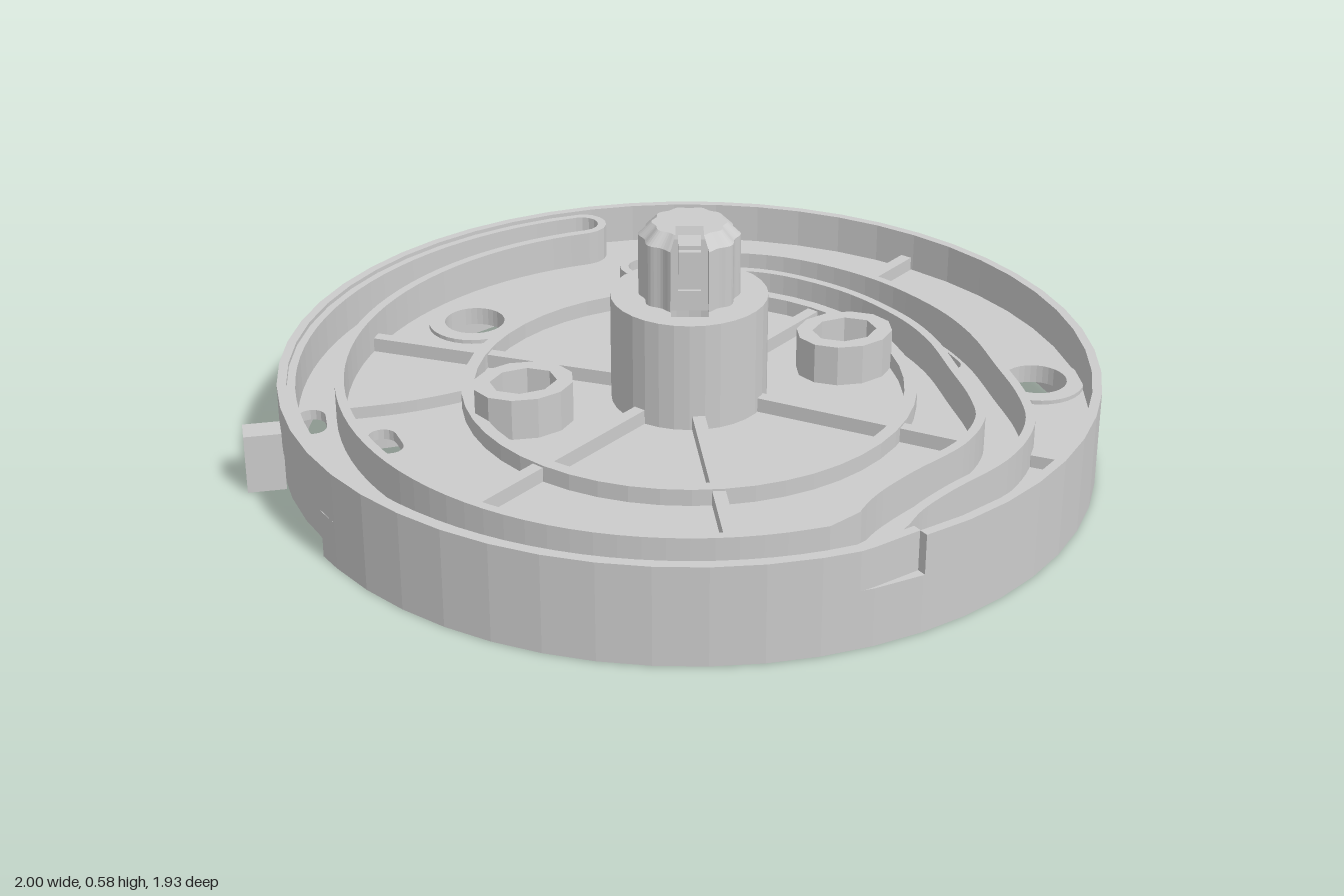
import * as THREE from 'three';

const CX = 0.035; // disc axis in x
const V = (x, z) => new THREE.Vector2(x, z);

export function createModel() {
  const model = new THREE.Group();
  const mat = new THREE.MeshStandardMaterial({ color: 0xcccccc, flatShading: true });

  const add = (name, geo, parent = model) => {
    const m = new THREE.Mesh(geo, mat);
    m.name = name;
    parent.add(m);
    return m;
  };
  // Plan outline (x, z) extruded between two heights
  const slab = (shape, y0, y1) => {
    const g = new THREE.ExtrudeGeometry(shape, { depth: y1 - y0, bevelEnabled: false });
    return g.rotateX(Math.PI / 2).translate(0, y1, 0);
  };
  const oval = (x, z, rx, rz, n = 32, a0 = 0) => Array.from({ length: n }, (_, i) => {
    const a = a0 + (i / n) * Math.PI * 2;
    return V(x + rx * Math.cos(a), z + rz * Math.sin(a));
  });
  const withHoles = (outer, ...holes) => {
    const s = new THREE.Shape(outer);
    holes.forEach(h => s.holes.push(new THREE.Path(h)));
    return s;
  };
  const ring = (x, z, ro, ri, n = 32) => withHoles(oval(x, z, ro, ro, n), oval(x, z, ri, ri, n));
  // Counter-clockwise outline at a set distance from a centre line, with round ends
  const capsule = (pts, w) => {
    const n = pts.length;
    const dir = i => pts[Math.min(i + 1, n - 1)].clone().sub(pts[Math.max(i - 1, 0)]).normalize();
    const side = s => pts.map((p, i) => { const d = dir(i); return V(p.x - d.y * w * s, p.y + d.x * w * s); });
    const cap = (p, d) => Array.from({ length: 7 }, (_, i) => {
      const a = Math.atan2(d.y, d.x) + Math.PI / 2 - ((i + 1) / 8) * Math.PI;
      return V(p.x + w * Math.cos(a), p.y + w * Math.sin(a));
    });
    return [...side(1), ...cap(pts[n - 1], dir(n - 1)),
      ...side(-1).reverse(), ...cap(pts[0], dir(0).negate())].reverse();
  };
  const spline = (list, n) => new THREE.SplineCurve(list.map(p => V(...p))).getPoints(n);

  // Rim band with recesses [deep end, shallow end, depth], angles from +x towards +z
  const rimBand = recesses => {
    const degs = Array.from({ length: 52 }, (_, i) => i * 360 / 52);
    recesses.forEach(([deep, shallow]) => degs.push(deep, deep - 0.1 * Math.sign(shallow - deep), shallow));
    degs.sort((a, b) => a - b);
    const loop = r => degs.map(d => {
      const cut = recesses.reduce((sum, [deep, shallow, depth]) => {
        const t = (d - deep) / (shallow - deep);
        return t >= 0 && t <= 1 ? sum + depth * (1 - t) : sum;
      }, 0);
      const a = THREE.MathUtils.degToRad(d);
      return V(CX + (r - cut) * Math.cos(a), (r - cut) * Math.sin(a));
    });
    return withHoles(loop(0.965), loop(0.943));
  };
  add('lowerRim', slab(rimBand([[318, 287, 0.04], [170, 195, 0.035]]), 0, 0.115));
  add('middleRim', slab(rimBand([]), 0.115, 0.14));
  add('upperRim', slab(rimBand([[83, 92, 0.022]]), 0.14, 0.235));

  // Web plate with its through holes
  const slot = (x, z, a) => {
    const h = V(-Math.sin(a), Math.cos(a)).multiplyScalar(0.028);
    return capsule([V(x - h.x, z - h.y), V(x + h.x, z + h.y)], 0.033);
  };
  const bosses = [[-0.31, -0.57], [0.825, 0.27]];
  add('web', slab(withHoles(oval(CX, 0, 0.95, 0.95, 52), oval(CX, 0, 0.15, 0.15),
    ...bosses.map(([x, z]) => oval(x, z, 0.075, 0.075)),
    slot(-0.83, -0.21, 0.2), slot(-0.7, -0.05, 0), slot(0.68, 0.07, 0)), 0.11, 0.135));
  bosses.forEach(([x, z]) => add('holeBoss', slab(ring(x, z, 0.115, 0.075), 0.1, 0.145)));

  // Cam track: one wall around a winding groove
  const track = spline([[0.15, -0.55], [0.3, -0.53], [0.47, -0.43], [0.6, -0.25], [0.665, -0.05],
    [0.675, 0.12], [0.645, 0.3], [0.615, 0.45], [0.565, 0.565], [0.45, 0.665], [0.28, 0.735],
    [0.17, 0.79], [0.1, 0.845]], 60);
  for (let d = 92; d <= 274; d += 3.5) {
    const a = THREE.MathUtils.degToRad(d);
    track.push(V(CX + 0.878 * Math.cos(a), 0.878 * Math.sin(a)));
  }
  add('trackWall', slab(withHoles(capsule(track, 0.067), capsule(track, 0.045)), 0.015, 0.225));

  // Inner ring, spokes and small ribs
  add('innerRing', slab(ring(CX, 0, 0.54, 0.51, 48), 0.025, 0.175));
  const spokes = [[0.265, -0.9, 0.17, 0.48], [0.265, -0.9, 0.62, 0.935], [0.815, -0.45, 0.17, 0.58],
    [0.815, -0.45, 0.71, 0.94], [0.465, 0.52, 0.17, 0.69], [-0.225, 0.77, 0.17, 0.81],
    [-0.705, 0.38, 0.17, 0.81], [-0.615, -0.53, 0.17, 0.82]];
  spokes.forEach(([x, z, r0, r1]) => {
    const g = new THREE.BoxGeometry(r1 - r0, 0.12, 0.03).translate((r0 + r1) / 2, 0.11, 0);
    add('spoke', g.rotateY(-Math.atan2(z, x)).translate(CX, 0, 0));
  });
  add('curvedRib', slab(new THREE.Shape(
    capsule(spline([[-0.75, -0.2], [-0.6, -0.18], [-0.42, -0.19], [-0.24, -0.24]], 14), 0.013)), 0.05, 0.165));
  add('shortRib', slab(new THREE.Shape(capsule([V(0.61, 0.62), V(0.68, 0.69)], 0.018)), 0.05, 0.165));

  // Oval bosses with blind pockets
  [[0.44, 0.01], [-0.37, -0.03]].forEach(([x, z]) => add('ovalBoss', slab(
    withHoles(oval(x, z, 0.12, 0.1, 12), oval(x, z, 0.08, 0.065, 8, Math.PI / 8)), 0.13, 0.235)));

  // Hollow hub with a fluted, notched shaft
  const hub = new THREE.Group();
  hub.name = 'hub';
  hub.position.x = CX;
  hub.rotation.y = -0.4;
  model.add(hub);
  add('hubTube', slab(ring(0, 0, 0.185, 0.15), 0.03, 0.4), hub);
  const w = 0.043; // half width of the notch
  add('hubCap', slab(withHoles(oval(0, 0, 0.151, 0.151),
    [V(-w, 0.035), V(w, 0.035), V(w, 0.135), V(-w, 0.135)]), 0.37, 0.4), hub);
  const fluted = [];
  for (let i = 0; i <= 80; i++) {
    const a = THREE.MathUtils.degToRad(112 + i * 3.95);
    const r = 0.114 + 0.005 * Math.cos(10 * a);
    fluted.push(V(r * Math.cos(a), r * Math.sin(a)));
  }
  fluted.push(V(w, 0.035), V(-w, 0.035));
  const shaftShape = new THREE.Shape(fluted);
  add('shaft', slab(shaftShape, 0.4, 0.55), hub);
  const tip = slab(shaftShape, 0.55, 0.58), p = tip.attributes.position;
  for (let i = 0; i < p.count; i++) {
    if (p.getY(i) > 0.57) p.setXYZ(i, p.getX(i) * 0.74, p.getY(i), p.getZ(i) * 0.74);
  }
  tip.computeVertexNormals();
  add('shaftTip', tip, hub);

  // Spring latch hanging in the notch
  add('latchArm', new THREE.BoxGeometry(0.052, 0.05, 0.07).translate(0, 0.535, 0.06), hub);
  add('latchFinger', new THREE.BoxGeometry(0.052, 0.13, 0.03).translate(0, 0.485, 0.095), hub);
  add('latchHook', new THREE.BoxGeometry(0.052, 0.035, 0.045).translate(0, 0.44, 0.095), hub);

  // Side tab on the rim
  const tab = add('sideTab', new THREE.BoxGeometry(0.09, 0.145, 0.065));
  tab.position.set(-0.95, 0.0725, -0.2);
  tab.rotation.y = -0.2;
  return model;
}
